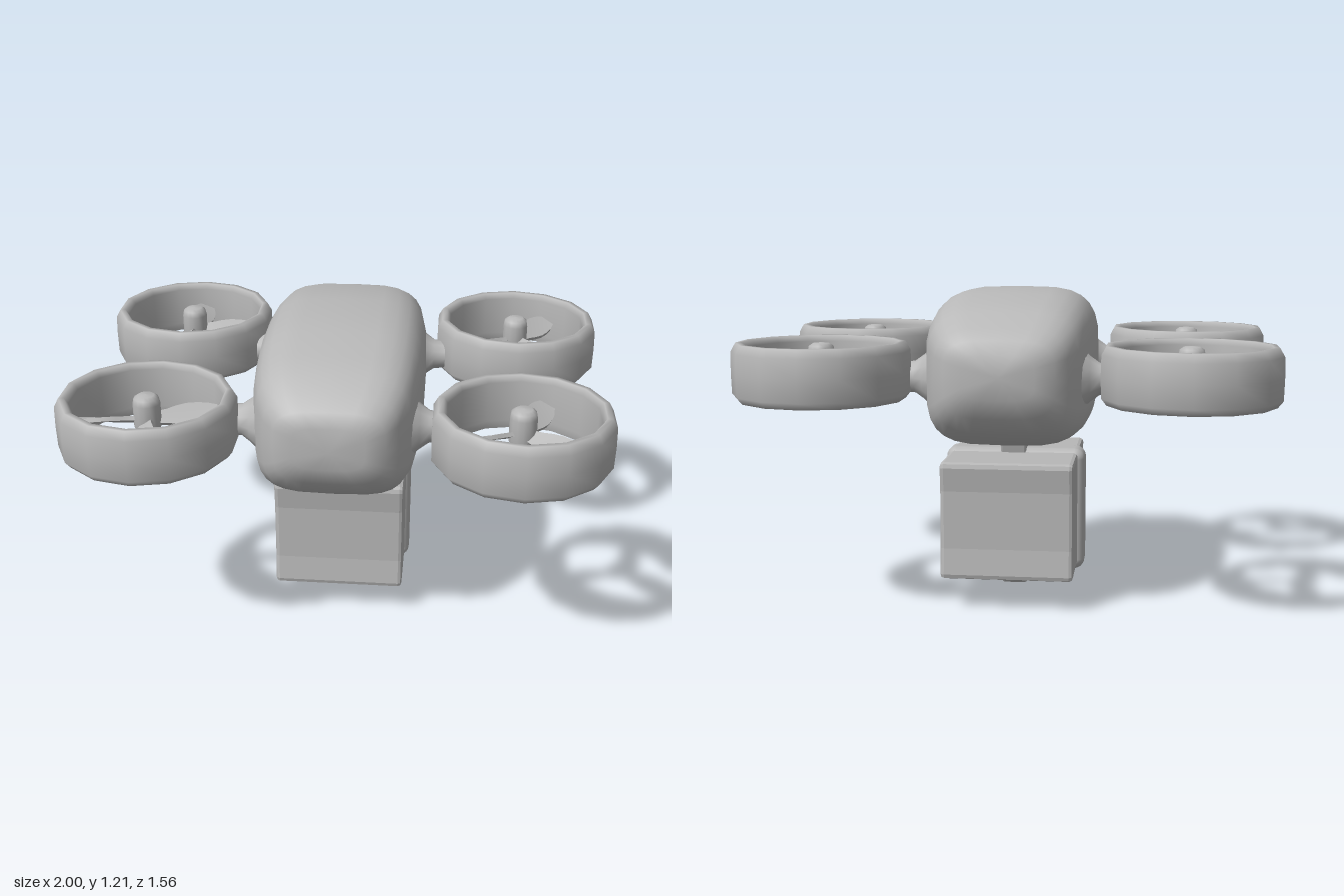
import * as THREE from 'three';
import { RoundedBoxGeometry } from 'three/addons/geometries/RoundedBoxGeometry.js';

const grey = new THREE.MeshStandardMaterial({ color: 0xb8b8b8 });
grey.name = 'plain grey';

function add(parent, name, geometry, x = 0, y = 0, z = 0) {
  const mesh = new THREE.Mesh(geometry, grey);
  mesh.name = name;
  mesh.position.set(x, y, z);
  parent.add(mesh);
  return mesh;
}

// Fuselage: squarish cross-sections lofted along z
function hullGeometry() {
  const half = [ // z, half width, bottom, top
    [0.1, 0.318, 0.62, 1.21], [0.22, 0.314, 0.626, 1.197], [0.38, 0.3, 0.64, 1.17],
    [0.47, 0.28, 0.66, 1.14], [0.55, 0.243, 0.71, 1.09], [0.6, 0.2, 0.77, 1.05],
    [0.63, 0.13, 0.84, 1.0],
  ];
  const stations = [...half.map(([z, ...s]) => [-z, ...s]).reverse(), ...half];
  const N = 28, pos = [], idx = [];
  for (const [z, w, lo, hi] of stations) {
    for (let j = 0; j < N; j++) {
      const a = (j / N) * Math.PI * 2;
      const e = (v) => Math.sign(v) * Math.abs(v) ** (2 / 3.8);
      pos.push(w * e(Math.cos(a)), (lo + hi) / 2 + ((hi - lo) / 2) * e(Math.sin(a)), z);
    }
  }
  const last = stations.length - 1;
  for (let i = 0; i < last; i++) {
    for (let j = 0; j < N; j++) {
      const a = i * N + j, b = i * N + ((j + 1) % N);
      idx.push(a, b, a + N, b, b + N, a + N);
    }
  }
  const back = pos.length / 3, front = back + 1;
  pos.push(0, 0.92, -0.632, 0, 0.9, 0.615);
  for (let j = 0; j < N; j++) {
    const k = (j + 1) % N;
    idx.push(back, k, j, front, last * N + j, last * N + k);
  }
  const g = new THREE.BufferGeometry();
  g.setAttribute('position', new THREE.Float32BufferAttribute(pos, 3));
  g.setIndex(idx);
  g.computeVertexNormals();
  return g;
}

// Side outline given as (z, y), extruded across x with softened edges
function sideExtrude(points, width, bevel) {
  const shape = new THREE.Shape(points.map(([z, y]) => new THREE.Vector2(z, y)));
  const depth = width - 2 * bevel;
  const g = new THREE.ExtrudeGeometry(shape, {
    depth, bevelEnabled: true, bevelSize: bevel, bevelThickness: bevel,
    bevelOffset: -bevel, bevelSegments: 2,
  });
  g.translate(0, 0, -depth / 2);
  g.rotateY(-Math.PI / 2);
  return g;
}

const lathe = (pts, sides) =>
  new THREE.LatheGeometry(pts.map(([r, y]) => new THREE.Vector2(r, y)), sides);

// Pitched blade that widens towards a rounded tip
function bladeGeometry() {
  const len = 0.225, g = new THREE.BoxGeometry(len, 0.016, 0.1, 6, 1, 2);
  const p = g.attributes.position;
  const widths = [0.5, 0.62, 0.85, 1, 1, 0.9, 0.62];
  for (let i = 0; i < p.count; i++) {
    const t = p.getX(i) / len + 0.5;
    const z = p.getZ(i) * widths[Math.round(t * 6)], y = p.getY(i);
    const pitch = 0.6 - 0.25 * t;
    p.setXYZ(i, 0.035 + t * len, y * Math.cos(pitch) - z * Math.sin(pitch),
      y * Math.sin(pitch) + z * Math.cos(pitch));
  }
  g.computeVertexNormals();
  return g;
}

export function createModel() {
  const model = new THREE.Group();
  model.name = 'deliveryDrone';
  add(model, 'fuselage', hullGeometry());

  // Ducted rotors with their struts
  const duct = lathe([
    [0.285, 0.815], [0.308, 0.815], [0.328, 0.84], [0.33, 0.92], [0.328, 0.995],
    [0.31, 1.027], [0.29, 1.027], [0.276, 1.005], [0.276, 0.85], [0.285, 0.815],
  ], 14);
  const hub = lathe([
    [0, 0.865], [0.035, 0.875], [0.05, 0.9], [0.05, 0.99], [0.045, 1.012], [0.03, 1.022], [0, 1.025],
  ], 14);
  const strut = lathe([[0.13, 0], [0.085, 0.05], [0.06, 0.085], [0.056, 0.13]], 12);
  const blade = bladeGeometry();
  const rotors = [ // side, end, blade headings in degrees
    [-1, -1, [90, 3, 254]], [1, -1, [56, 200, 291]],
    [-1, 1, [19, 187, 276]], [1, 1, [68, 200, 318]],
  ];
  for (const [sx, sz, headings] of rotors) {
    const rotor = new THREE.Group();
    rotor.name = 'rotor';
    rotor.position.set(sx * 0.677, 0, sz * 0.448);
    model.add(rotor);
    add(rotor, 'duct', duct);
    add(rotor, 'hub', hub);
    for (const deg of headings) {
      add(rotor, 'blade', blade, 0, 0.925, 0).rotation.y = THREE.MathUtils.degToRad(deg);
    }
    add(model, 'strut', strut, sx * 0.26, 0.89, sz * 0.345).rotation.z = -sx * Math.PI / 2;
  }

  // Parcel with slightly hollow ends
  const end = [[0.235, 0.12], [0.252, 0.126], [0.256, 0.14], [0.245, 0.24],
    [0.243, 0.46], [0.254, 0.55], [0.25, 0.566], [0.235, 0.571]];
  const outline = [...end, ...end.map(([z, y]) => [-0.14 - z, y]).reverse()];
  add(model, 'parcel', sideExtrude(outline, 0.505, 0.015));
  add(model, 'parcelBand', new RoundedBoxGeometry(0.55, 0.487, 0.142, 3, 0.042), -0.005, 0.343, -0.07);

  // Link between the fuselage and the band
  add(model, 'hanger', sideExtrude(
    [[0.0, 0.57], [0.06, 0.61], [0.06, 0.65], [-0.16, 0.65], [-0.14, 0.57]], 0.1, 0.008));

  // Release latch under the parcel
  add(model, 'latch', sideExtrude([
    [0.137, 0.105], [0.137, 0.062], [0.05, 0.0], [0.01, 0.028], [-0.14, 0.045],
    [-0.15, 0.06], [-0.147, 0.1], [-0.08, 0.112], [-0.03, 0.08], [0.06, 0.098],
  ], 0.1, 0.01), -0.005, 0, 0);

  return model;
}
